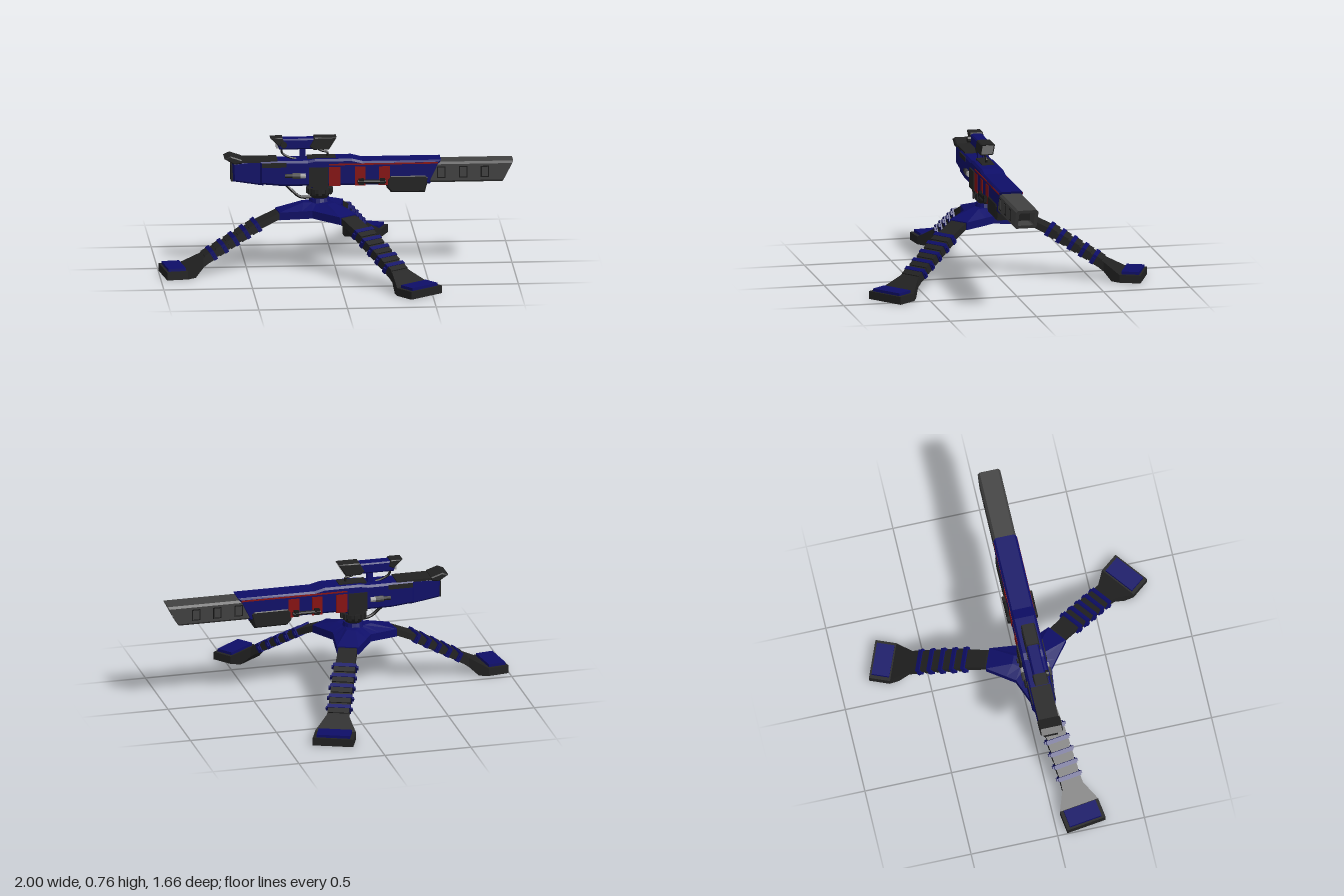
import * as THREE from 'three';

const mat = (color) => new THREE.MeshStandardMaterial({ color, flatShading: true });
const blue = mat(0x0e0e68), dark = mat(0x222222), black = mat(0x171717);
const steel = mat(0x414141), red = mat(0x881111), light = mat(0xa0a0a0);
const HUB = [-0.09, 0, 0.045];
const GZ = 0.052; // centre plane of the gun

function add(parent, name, geo, material, x = 0, y = 0, z = 0) {
  const m = new THREE.Mesh(geo, material);
  m.name = name;
  m.position.set(x, y, z);
  parent.add(m);
  return m;
}

const box = (p, name, material, x0, x1, y0, y1, depth, z = GZ) =>
  add(p, name, new THREE.BoxGeometry(x1 - x0, y1 - y0, depth), material, (x0 + x1) / 2, (y0 + y1) / 2, z);

// Skin over a list of closed sections with equal point counts
function loft(sections) {
  const pos = [];
  const n = sections[0].length;
  for (let i = 0; i < sections.length - 1; i++) {
    for (let j = 0; j < n; j++) {
      const k = (j + 1) % n;
      const a = sections[i][j], b = sections[i][k], c = sections[i + 1][k], d = sections[i + 1][j];
      pos.push(...a, ...d, ...c, ...a, ...c, ...b);
    }
  }
  const g = new THREE.BufferGeometry();
  g.setAttribute('position', new THREE.Float32BufferAttribute(pos, 3));
  g.computeVertexNormals();
  return g;
}

// Side profile extruded across z with bevelled edges
function profile(points, depth, bevel, hole) {
  const s = new THREE.Shape(points.map((p) => new THREE.Vector2(...p)));
  if (hole) s.holes.push(new THREE.Path(hole.map((p) => new THREE.Vector2(...p))));
  const g = new THREE.ExtrudeGeometry(s, {
    depth: depth - 2 * bevel, bevelEnabled: bevel > 0, bevelSize: bevel,
    bevelThickness: bevel, bevelOffset: -bevel, bevelSegments: 1,
  });
  return g.translate(0, 0, -depth / 2 + bevel);
}

function cable(p, name, points, radius = 0.007) {
  const curve = new THREE.CatmullRomCurve3(points.map((q) => new THREE.Vector3(...q)));
  add(p, name, new THREE.TubeGeometry(curve, 16, radius, 6), black);
}

// One leg running out along +x: arm, flared foot, armour bands
function makeLeg() {
  const leg = new THREE.Group();
  leg.name = 'leg';
  const stations = [ // radius, top, bottom, half width
    [0.2, 0.35, 0.31, 0.05], [0.25, 0.338, 0.3, 0.053], [0.36, 0.29, 0.25, 0.055],
    [0.62, 0.14, 0.095, 0.058], [0.68, 0.105, 0.05, 0.062], [0.73, 0.075, 0, 0.088],
    [0.78, 0.045, 0, 0.115], [0.9, 0.045, 0, 0.115],
  ];
  const sections = stations.map(([r, t, b, w]) => [[r, t, w], [r, t, -w], [r, b, -w], [r, b, w]]);
  const cap = ([r, t, b]) => Array(4).fill([r, (t + b) / 2, 0]);
  add(leg, 'legArm', loft([cap(stations[0]), ...sections, cap(stations[7])]), dark);
  add(leg, 'footPlate', new THREE.BoxGeometry(0.1, 0.022, 0.19), blue, 0.838, 0.05, 0);
  for (let i = 0; i < 5; i++) {
    const r = 0.365 + i * 0.064, y = 0.268 - i * 0.0375;
    const band = add(leg, 'legBand', new THREE.BoxGeometry(0.024, 0.056, 0.132), blue, r, y, 0);
    const collar = add(leg, 'legCollar', new THREE.BoxGeometry(0.036, 0.05, 0.12), dark, r + 0.024, y - 0.014, 0);
    const pin = add(leg, 'bandPin', new THREE.BoxGeometry(0.014, 0.022, 0.152), blue, r, y, 0);
    band.rotation.z = collar.rotation.z = pin.rotation.z = -0.53;
  }
  return leg;
}

function makeTripod() {
  const tripod = new THREE.Group();
  tripod.name = 'tripod';
  const angles = [172, 52, -68].map(THREE.MathUtils.degToRad);
  for (const a of angles) {
    const leg = makeLeg();
    leg.rotation.y = -a;
    tripod.add(leg);
  }
  // Three-armed hub sloping down towards the legs
  const outline = [];
  for (let k = 0; k < 3; k++) {
    const a = -angles[0] + k * Math.PI * 2 / 3;
    outline.push([a - 0.25, 0.25, 0], [a + 0.25, 0.25, 0], [a + 0.66, 0.152, 0.008],
      [a + Math.PI / 3, 0.125, 0.012], [a + Math.PI * 2 / 3 - 0.66, 0.152, 0.008]);
  }
  const ring = ([s, y]) => outline.map(([a, r, lift]) =>
    [s * r * Math.cos(a), y + (s === 1 ? lift : 0), -s * r * Math.sin(a)]);
  const rings = [[0, 0.392], [0.4, 0.39], [1, 0.346], [1, 0.302], [0.4, 0.325], [0, 0.328]];
  add(tripod, 'hub', loft(rings.map(ring)), blue);

  // Turning pivot
  add(tripod, 'pivotBase', new THREE.CylinderGeometry(0.055, 0.062, 0.026, 16), blue, 0, 0.398, 0);
  add(tripod, 'pivotCone', new THREE.CylinderGeometry(0.07, 0.045, 0.035, 16), dark, 0, 0.426, 0);
  add(tripod, 'pivotRing', new THREE.CylinderGeometry(0.068, 0.068, 0.026, 16), dark, 0, 0.455, 0);
  for (let i = 0; i < 12; i++) {
    const a = i * Math.PI / 6;
    const rib = add(tripod, 'pivotRib', new THREE.BoxGeometry(0.014, 0.034, 0.018), dark,
      0.068 * Math.cos(a), 0.452, 0.068 * Math.sin(a));
    rib.rotation.y = -a;
  }
  add(tripod, 'pivotNeck', new THREE.CylinderGeometry(0.05, 0.05, 0.05, 12), blue, 0, 0.485, 0);
  tripod.position.set(...HUB);
  return tripod;
}

function makeGun() {
  const gun = new THREE.Group();
  gun.name = 'gun';
  // Receiver and looped stock
  add(gun, 'body', profile([[-0.43, 0.505], [-0.3, 0.492], [0.53, 0.492], [0.592, 0.63], [0.15, 0.63],
    [0.09, 0.645], [-0.12, 0.645], [-0.16, 0.637], [-0.43, 0.637]], 0.135, 0.012), blue, 0, 0, GZ);
  add(gun, 'stock', profile([[-0.58, 0.522], [-0.41, 0.495], [-0.41, 0.64], [-0.5, 0.638], [-0.585, 0.628]],
    0.11, 0.01, [[-0.562, 0.608], [-0.53, 0.618], [-0.425, 0.618], [-0.425, 0.59], [-0.52, 0.562], [-0.55, 0.575]]),
  blue, 0, 0, GZ);
  add(gun, 'buttPad', profile([[-0.592, 0.52], [-0.565, 0.52], [-0.568, 0.612], [-0.592, 0.612]], 0.08, 0), dark, 0, 0, GZ);
  add(gun, 'rearHandle', profile([[-0.63, 0.655], [-0.595, 0.67], [-0.53, 0.648], [-0.53, 0.628], [-0.575, 0.622]],
    0.13, 0.006), dark, 0, 0, GZ);
  box(gun, 'rearDeck', dark, -0.54, -0.33, 0.63, 0.644, 0.115);
  box(gun, 'sideRecess', dark, -0.42, -0.28, 0.602, 0.628, 0.138);
  box(gun, 'bodySeat', dark, -0.16, 0.0, 0.64, 0.651, 0.07);

  // Hollow sheared barrel
  const sq = (h, v, c) => [[-h, -v + c], [-h + c, -v], [h - c, -v], [h, -v + c],
    [h, v - c], [h - c, v], [-h + c, v], [-h, v - c]];
  const barrel = profile(sq(0.065, 0.059, 0.012), 0.46, 0, sq(0.045, 0.04, 0.006)).rotateY(Math.PI / 2);
  const bp = barrel.attributes.position;
  for (let i = 0; i < bp.count; i++) bp.setX(i, bp.getX(i) + 0.52 * bp.getY(i));
  barrel.computeVertexNormals();
  add(gun, 'barrel', barrel, steel, 0.739, 0.558, GZ);
  box(gun, 'barrelCore', black, 0.55, 0.82, 0.52, 0.596, 0.088);
  for (const x of [0.592, 0.716, 0.839]) {
    box(gun, 'barrelVentFrame', black, x - 0.024, x + 0.024, 0.526, 0.592, 0.132);
    box(gun, 'barrelVent', steel, x - 0.018, x + 0.018, 0.532, 0.586, 0.134);
  }

  // Red trim on both sides
  box(gun, 'trimLine', red, -0.04, 0.575, 0.61, 0.619, 0.138);
  for (const [a, b] of [[-0.04, 0.025], [0.105, 0.165], [0.24, 0.303]]) {
    box(gun, 'trimPanel', red, a, b, 0.491, 0.6, 0.139);
  }

  // Magazine, yoke and side fittings
  add(gun, 'magazine', profile([[0.285, 0.475], [0.31, 0.447], [0.5, 0.445], [0.522, 0.53], [0.505, 0.547],
    [0.305, 0.547], [0.285, 0.525]], 0.145, 0.01), dark, 0, 0, GZ);
  box(gun, 'yoke', dark, -0.155, -0.045, 0.488, 0.6, 0.15);
  box(gun, 'yokeFoot', dark, -0.13, -0.05, 0.468, 0.52, 0.13);
  for (const s of [1, -1]) {
    const z = GZ + s * 0.073;
    const rod = add(gun, 'sideRod', new THREE.CylinderGeometry(0.011, 0.011, 0.16, 8), black, 0.2, 0.515, z + s * 0.004);
    rod.rotation.z = Math.PI / 2;
    for (const x of [0.14, 0.26]) box(gun, 'rodClamp', black, x - 0.014, x + 0.014, 0.498, 0.533, 0.028, z);
    [[-0.265, 0.05, 0.012, dark], [-0.225, 0.045, 0.018, steel], [-0.188, 0.03, 0.015, light]].forEach(([x, l, r, m]) => {
      const c = add(gun, 'sideCylinder', new THREE.CylinderGeometry(r, r, l, 10), m, x, 0.553, GZ + s * 0.068);
      c.rotation.z = Math.PI / 2;
    });
  }
  cable(gun, 'powerCable', [[-0.29, 0.5, GZ], [-0.25, 0.46, GZ + 0.02], [-0.2, 0.42, GZ + 0.02], [-0.13, 0.413, GZ]], 0.009);
  return gun;
}

function makeScope() {
  const scope = new THREE.Group();
  scope.name = 'scope';
  add(scope, 'scopeBody', profile([[-0.32, 0.697], [-0.1, 0.697], [-0.1, 0.758], [-0.34, 0.758]], 0.07, 0.008), blue, 0, 0, GZ);
  add(scope, 'scopeHood', profile([[-0.15, 0.712], [-0.125, 0.694], [-0.04, 0.694], [0.004, 0.765], [-0.12, 0.765]],
    0.08, 0.006), dark, 0, 0, GZ);
  add(scope, 'scopeEyepiece', profile([[-0.318, 0.715], [-0.29, 0.73], [-0.3, 0.765], [-0.37, 0.765]], 0.08, 0.005),
    dark, 0, 0, GZ);
  // Slanted lens at the front, upright lens at the rear
  add(scope, 'frontLens', profile([[-0.05, 0.7], [-0.033, 0.7], [0.003, 0.758], [-0.02, 0.758]], 0.064, 0), light, 0, 0, GZ);
  box(scope, 'rearLens', light, -0.336, -0.32, 0.702, 0.745, 0.05);
  const knob = add(scope, 'scopeKnob', new THREE.CylinderGeometry(0.018, 0.018, 0.025, 10), dark, -0.295, 0.728, GZ + 0.042);
  knob.rotation.x = Math.PI / 2;
  // Mounting posts and cables down to the body
  for (const s of [1, -1]) box(scope, 'scopePost', blue, -0.2, -0.17, 0.635, 0.7, 0.01, GZ + s * 0.015);
  cable(scope, 'scopeCable', [[-0.305, 0.7, GZ], [-0.3, 0.67, GZ], [-0.26, 0.645, GZ], [-0.22, 0.635, GZ]]);
  cable(scope, 'scopeCable', [[-0.11, 0.7, GZ], [-0.08, 0.682, GZ], [-0.045, 0.67, GZ], [-0.05, 0.64, GZ]]);
  return scope;
}

export function createModel() {
  const model = new THREE.Group();
  model.name = 'tripodTurret';
  model.add(makeTripod(), makeGun(), makeScope());
  return model;
}
